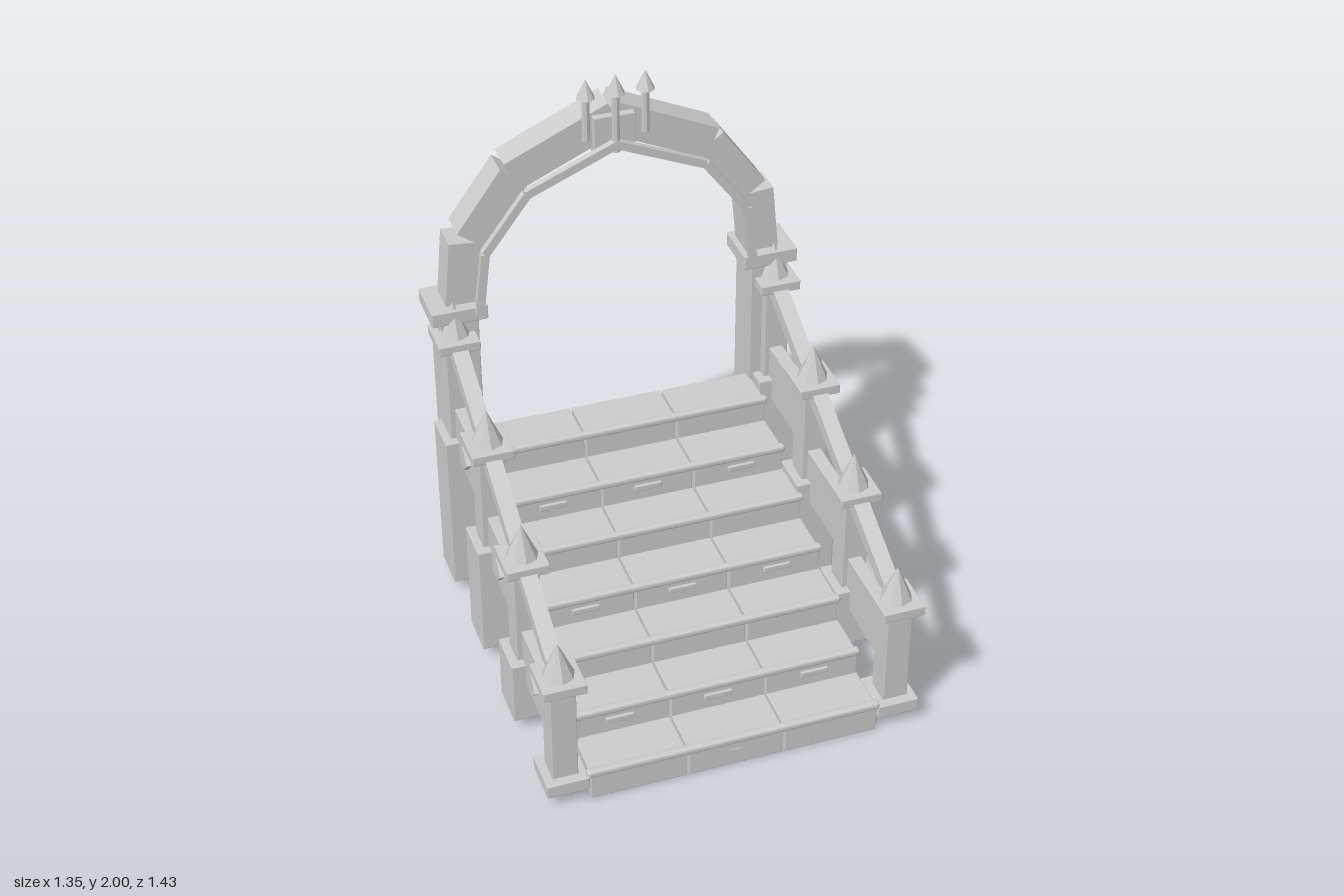
import * as THREE from 'three';
import { RoundedBoxGeometry } from 'three/addons/geometries/RoundedBoxGeometry.js';

const material = new THREE.MeshStandardMaterial({ color: 0xcccccc, flatShading: true });

export function createModel() {
  const model = new THREE.Group();
  model.name = 'archedStairway';

  const add = (parent, name, geometry, x, y, z) => {
    const mesh = new THREE.Mesh(geometry, material);
    mesh.name = name;
    mesh.position.set(x, y, z);
    parent.add(mesh);
    return mesh;
  };
  // Box given by its centre in x and z and by its bottom and top
  const block = (parent, name, x, z, w, d, y0, y1) =>
    add(parent, name, new RoundedBoxGeometry(w, y1 - y0, d, 1, 0.003), x, (y0 + y1) / 2, z);
  // Beam in the xy plane between two points
  const beam = (parent, name, [x0, y0], [x1, y1], thickness, depth, z) => {
    const length = Math.hypot(x1 - x0, y1 - y0);
    const mesh = add(parent, name, new THREE.BoxGeometry(length, thickness, depth), (x0 + x1) / 2, (y0 + y1) / 2, z);
    mesh.rotation.z = Math.atan2(y1 - y0, x1 - x0);
    return mesh;
  };

  // Seven steps of three stone columns, each with a nosing
  const steps = new THREE.Group();
  steps.name = 'steps';
  model.add(steps);
  for (let i = 0; i < 7; i++) {
    const front = 0.708 - 0.185 * i;
    const top = 0.11 + 0.09 * i;
    for (const column of [-1, 0, 1]) {
      block(steps, 'stepBlock', column * 0.345, front - 0.09, 0.337, 0.18, 0, top);
      if (i % 2) block(steps, 'riserInset', column * 0.353, front, 0.1, 0.02, top - 0.054, top - 0.032);
    }
    add(steps, 'stepNosing', new RoundedBoxGeometry(1.05, 0.028, 0.03, 2, 0.01), 0, top - 0.007, front - 0.012);
  }
  add(steps, 'riserMark', new THREE.BoxGeometry(0.045, 0.006, 0.006), 0, 0.065, 0.708);

  // Railings, one on each side
  for (const side of [-1, 1]) {
    const railing = new THREE.Group();
    railing.name = side > 0 ? 'leftRailing' : 'rightRailing';
    model.add(railing);
    const x = side * 0.593;

    for (let i = 0; i < 4; i++) {
      const z = 0.632 - 0.395 * i;
      const rise = 0.192 * i;
      block(railing, 'postFooting', x, z, 0.148, 0.162, 0.05, 0.1 + rise);
      block(railing, 'post', x, z, 0.09, 0.095, 0.09 + rise, 0.48 + rise);
      block(railing, 'postCap', x, z, 0.148, 0.16, 0.475 + rise, 0.512 + rise);
      add(railing, 'postSpike', new THREE.ConeGeometry(0.056, 0.13, 8), x, 0.577 + rise, z);

      // Panel with a raised diamond between this post and the next
      if (i < 3) {
        const mid = z - 0.1975;
        block(railing, 'panel', x, mid, 0.05, 0.31, 0.205 + rise, 0.415 + rise);
        const diamond = add(railing, 'panelDiamond', new THREE.BoxGeometry(0.03, 0.074, 0.074), side * 0.62, 0.31 + rise, mid);
        diamond.rotation.x = Math.PI / 4;
      }
    }

    // Sloping handrail
    const run = 1.185, climb = 0.576;
    const rail = add(railing, 'handrail', new THREE.BoxGeometry(0.057, 0.05, Math.hypot(run, climb)), x, 0.784, 0.0395);
    rail.rotation.x = Math.atan2(climb, run);
  }

  // Arch, mirrored about the middle
  const arch = new THREE.Group();
  arch.name = 'arch';
  model.add(arch);
  const stones = [
    [[0.555, 1.17], [0.53, 1.43]],
    [[0.51, 1.435], [0.35, 1.655]],
    [[0.36, 1.655], [-0.01, 1.822]],
  ];
  const trim = [[0.505, 1.16], [0.475, 1.4], [0.32, 1.605], [0, 1.74]];
  for (const side of [-1, 1]) {
    const flip = ([x, y]) => [side * x, y];
    block(arch, 'pier', side * 0.572, -0.62, 0.135, 0.155, 0.525, 1.15);
    block(arch, 'pierCap', side * 0.573, -0.622, 0.2, 0.185, 1.137, 1.19);
    for (const [a, b] of stones) beam(arch, 'archStone', flip(a), flip(b), 0.12, 0.113, -0.625);
    for (let i = 0; i < 3; i++) beam(arch, 'archTrim', flip(trim[i]), flip(trim[i + 1]), 0.03, 0.025, -0.53);
  }
  block(arch, 'keystone', 0, -0.617, 0.148, 0.147, 1.7, 1.84);

  // Three finials in front of the keystone
  for (const x of [-0.105, 0, 0.105]) {
    const bottom = x ? 1.77 : 1.71;
    add(arch, 'finialShaft', new THREE.CylinderGeometry(0.014, 0.014, 1.935 - bottom, 8), x, (1.935 + bottom) / 2, -0.533);
    add(arch, 'finialTip', new THREE.ConeGeometry(0.033, 0.07, 8), x, 1.965, -0.533);
  }

  return model;
}
